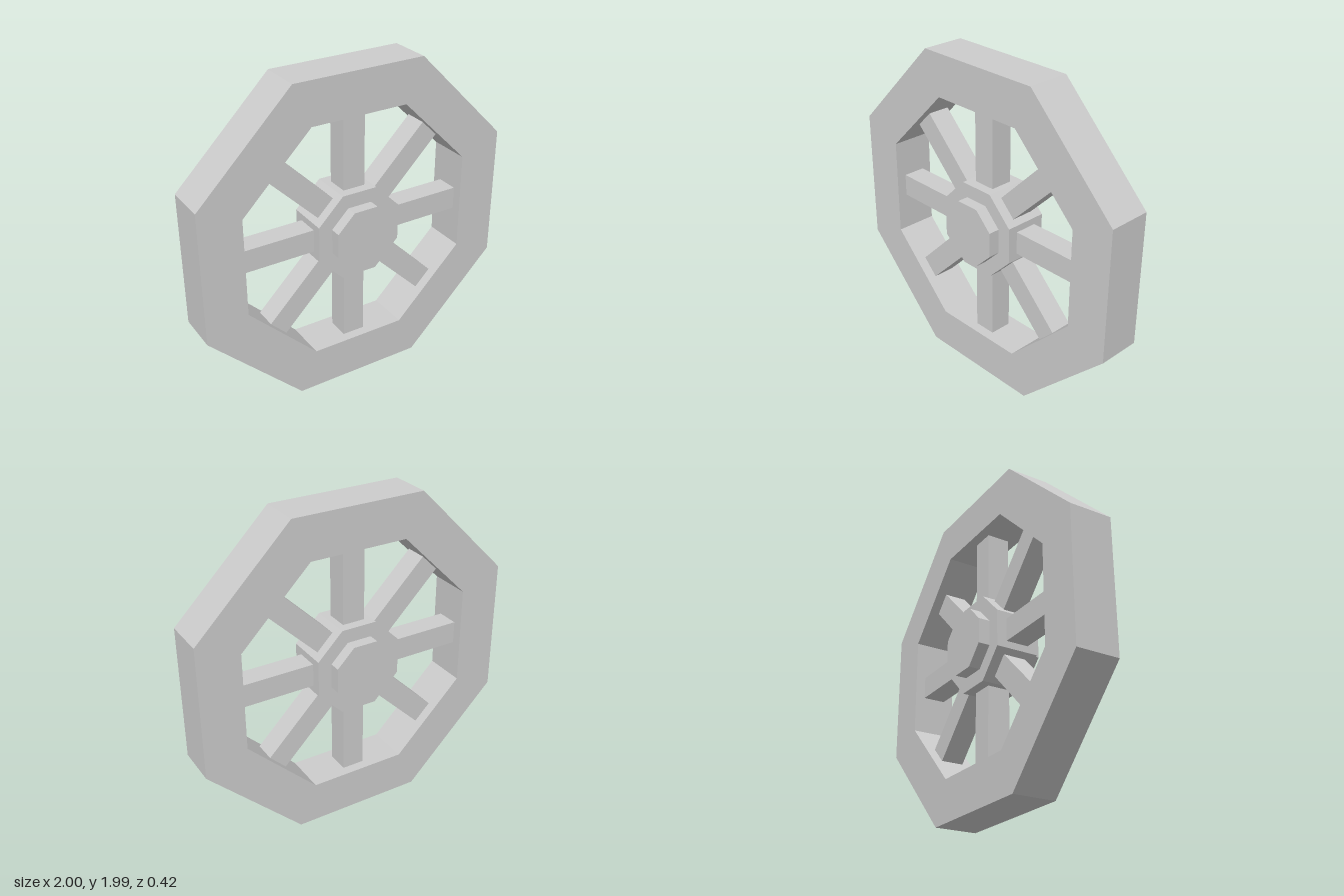
import * as THREE from 'three';

const material = new THREE.MeshStandardMaterial({ color: 0xcccccc, flatShading: true });

// Corners of an octagon with flat top and sides, given centre-to-side distance
function octagon(apothem) {
  const r = apothem / Math.cos(Math.PI / 8);
  return Array.from({ length: 8 }, (_, i) => {
    const a = (i + 0.5) * Math.PI / 4;
    return new THREE.Vector2(r * Math.cos(a), r * Math.sin(a));
  });
}

// Octagonal prism centred on z = 0, optionally with an octagonal opening
function prism(apothem, depth, hole = 0) {
  const shape = new THREE.Shape(octagon(apothem));
  if (hole) shape.holes.push(new THREE.Path(octagon(hole)));
  return new THREE.ExtrudeGeometry(shape, { depth, bevelEnabled: false }).translate(0, 0, -depth / 2);
}

export function createModel() {
  const wheel = new THREE.Group();
  wheel.name = 'wheel';

  const add = (name, geometry) => {
    const mesh = new THREE.Mesh(geometry, material);
    mesh.name = name;
    wheel.add(mesh);
    return mesh;
  };

  const inner = 0.735, hubSize = 0.27, thickness = 0.264;
  add('rim', prism(0.995, thickness, inner));
  add('hub', prism(hubSize, thickness));

  // Axle caps on both faces of the hub
  const capDepth = 0.07;
  for (const side of [1, -1]) {
    add(side > 0 ? 'frontCap' : 'backCap', prism(0.185, capDepth))
      .position.z = side * (thickness + capDepth) / 2;
  }

  // Eight square spokes between hub and rim
  for (let i = 0; i < 8; i++) {
    const spoke = new THREE.BoxGeometry(inner - hubSize, 0.14, 0.14);
    spoke.translate((inner + hubSize) / 2, 0, 0);
    add('spoke' + (i + 1), spoke).rotation.z = i * Math.PI / 4;
  }

  // The wheel stands upright, turned slightly about the vertical
  wheel.position.y = 0.995;
  wheel.rotation.y = 0.05;

  const model = new THREE.Group();
  model.name = 'wagonWheel';
  model.add(wheel);
  return model;
}
